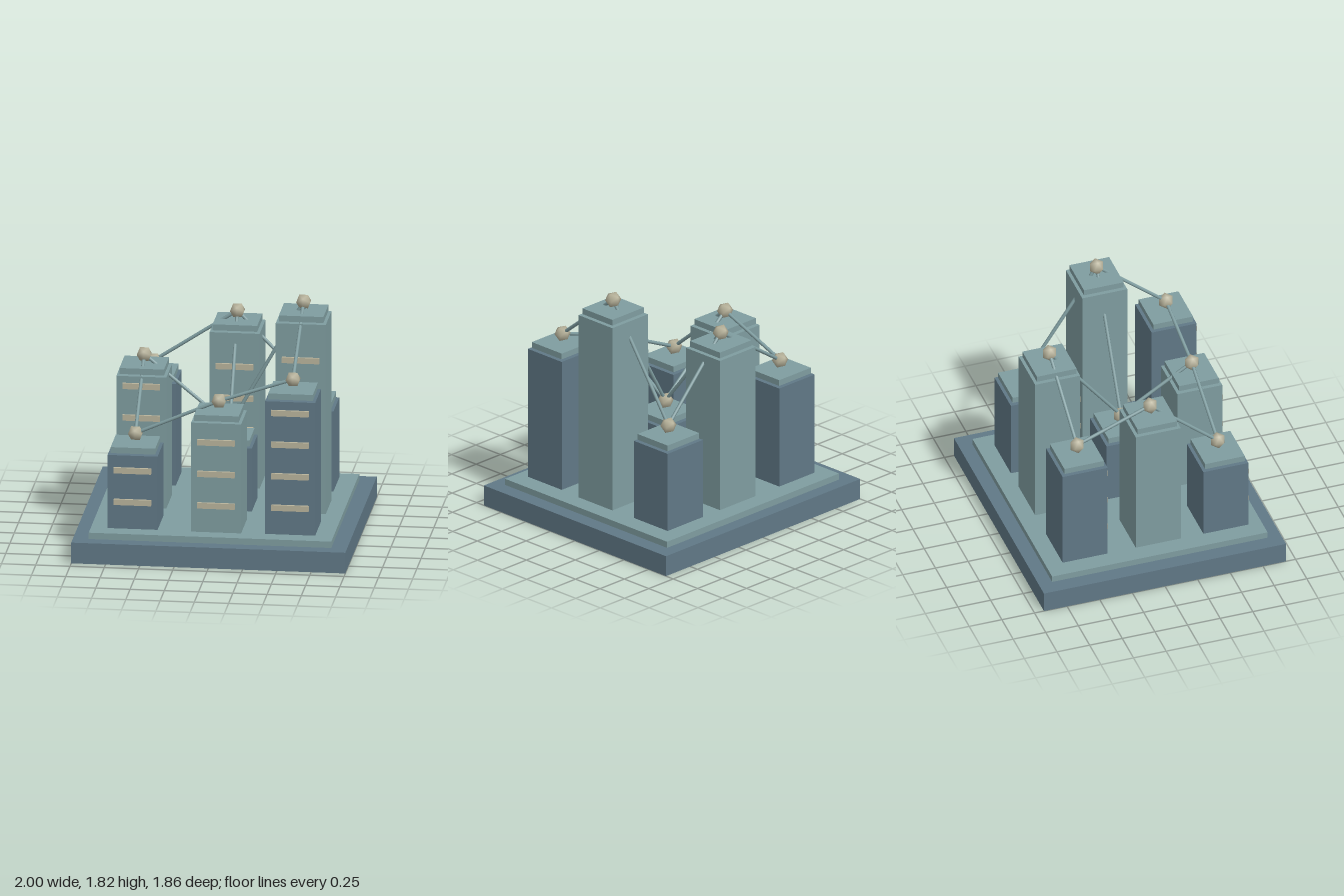
import * as THREE from 'three';
import { mergeVertices } from 'three/addons/utils/BufferGeometryUtils.js';

export function createModel() {
  const slate = new THREE.MeshStandardMaterial({ name: 'slate blue', color: 0x607886 });
  const teal = new THREE.MeshStandardMaterial({ name: 'pale teal', color: 0x7f9da0 });
  const sand = new THREE.MeshStandardMaterial({ name: 'sand', color: 0xb8b39b });
  const model = new THREE.Group();
  model.name = 'towerBlock';

  function box(name, parent, mat, w, h, d, x, y, z) {
    const mesh = new THREE.Mesh(new THREE.BoxGeometry(w, h, d), mat);
    mesh.name = name;
    mesh.position.set(x, y, z);
    parent.add(mesh);
  }

  // Stepped base
  box('base', model, slate, 2, 0.157, 1.855, 0, 0.0785, 0);
  box('plinth', model, teal, 1.77, 0.048, 1.65, 0, 0.181, 0);

  // Towers row by row from back to front: x, z, roof height
  const towers = [
    [[-0.578, -0.529, 0.985], [0.033, -0.529, 1.388], [0.572, -0.529, 0.82]],
    [[-0.578, 0.031, 1.207], [0.045, 0.022, 0.69], [0.584, 0.022, 1.648]],
    [[-0.578, 0.549, 0.768], [0.033, 0.56, 1.04], [0.572, 0.549, 1.22]],
  ];
  const foot = 0.213, depth = 0.345;

  // Smooth-shaded joint ball
  let ball = new THREE.IcosahedronGeometry(0.06, 0);
  ball.deleteAttribute('normal');
  ball.deleteAttribute('uv');
  ball = mergeVertices(ball);
  ball.computeVertexNormals();

  const joints = towers.map((row, r) => row.map(([x, z, top], c) => {
    const tower = new THREE.Group();
    tower.name = 'tower';
    model.add(tower);
    const mat = (r + c) % 2 === 0 ? slate : teal;
    box('towerBody', tower, mat, 0.365, top - foot, depth, x, (top + foot) / 2, z);
    box('roofCap', tower, teal, 0.325, 0.045, 0.304, x, top + 0.031, z);
    // Window ledges on the front face
    for (let y = 0.417; y < top - 0.06; y += 0.2395) {
      box('windowBand', tower, sand, 0.273, 0.043, 0.03, x, y, z + depth / 2 + 0.004);
    }
    const joint = new THREE.Mesh(ball, sand);
    joint.name = 'jointBall';
    joint.position.set(x, top + 0.119, z);
    tower.add(joint);
    return joint.position;
  }));

  // Rods between neighbouring joints
  function rod(a, b) {
    const dir = b.clone().sub(a);
    const mesh = new THREE.Mesh(new THREE.CylinderGeometry(0.013, 0.013, dir.length(), 8), teal);
    mesh.name = 'linkRod';
    mesh.position.copy(a).add(b).multiplyScalar(0.5);
    mesh.quaternion.setFromUnitVectors(new THREE.Vector3(0, 1, 0), dir.normalize());
    model.add(mesh);
  }
  for (let r = 0; r < 3; r++) {
    for (let c = 0; c < 3; c++) {
      if (c < 2) rod(joints[r][c], joints[r][c + 1]);
      if (r < 2) rod(joints[r][c], joints[r + 1][c]);
    }
  }
  return model;
}
